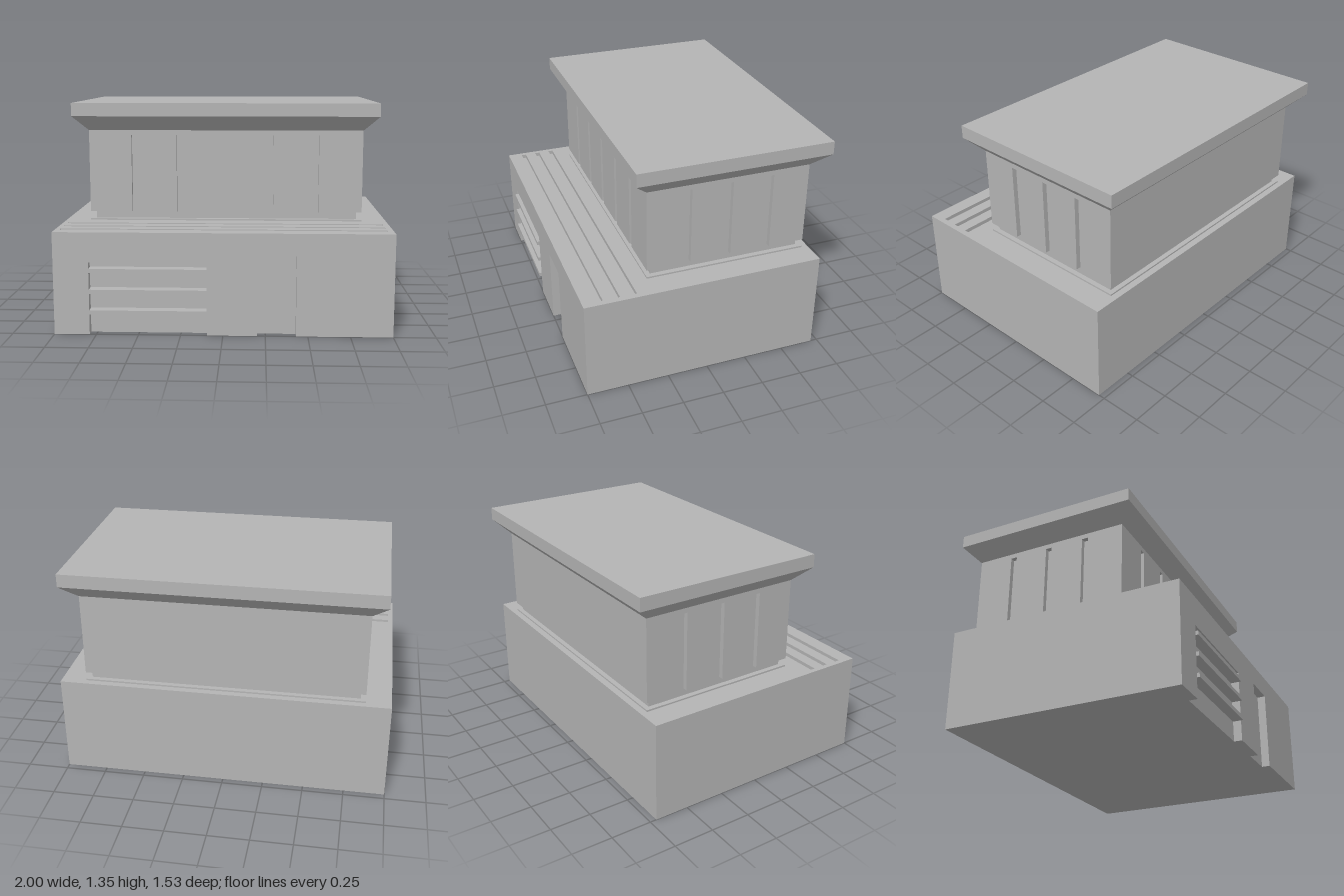
import * as THREE from 'three';

const concrete = new THREE.MeshStandardMaterial({ color: 0xb4b4b4 });
concrete.name = 'concrete grey';

function addMesh(parent, name, geometry) {
  const mesh = new THREE.Mesh(geometry, concrete);
  mesh.name = name;
  parent.add(mesh);
  return mesh;
}

// Box given by its limits on each axis
function block([x0, x1], [y0, y1], [z0, z1]) {
  return new THREE.BoxGeometry(x1 - x0, y1 - y0, z1 - z0)
    .translate((x0 + x1) / 2, (y0 + y1) / 2, (z0 + z1) / 2);
}

const toShape = (points) => new THREE.Shape(points.map(([x, y]) => new THREE.Vector2(x, y)));

// Raises a plan drawn in (x, -z) from y0 to y1
function raisePlan(shape, y0, y1) {
  return new THREE.ExtrudeGeometry(shape, { depth: y1 - y0, bevelEnabled: false })
    .rotateX(-Math.PI / 2).translate(0, y0, 0);
}

export function createModel() {
  const model = new THREE.Group();
  model.name = 'building';

  // Lower storey: core, front wall with two recesses, grooved deck
  const lower = new THREE.Group();
  lower.name = 'lowerStorey';
  model.add(lower);
  const deckY = 0.59, baseTop = 0.615, recessZ = 0.7, frontZ = 0.75, backZ = -0.71;
  addMesh(lower, 'baseCore', block([-1, 1], [0, deckY], [backZ, recessZ]));

  const facade = toShape([
    [-1, 0], [-0.79, 0], [-0.79, 0.435], [-0.095, 0.435], [-0.095, 0],
    [0.2, 0], [0.2, 0.48], [0.43, 0.48], [0.43, 0], [1, 0], [1, deckY], [-1, deckY],
  ]);
  addMesh(lower, 'frontWall', new THREE.ExtrudeGeometry(facade, {
    depth: frontZ - recessZ, bevelEnabled: false,
  }).translate(0, 0, recessZ));

  const deck = toShape([[-1, -frontZ], [1, -frontZ], [1, -backZ], [-1, -backZ]]);
  for (const z of [0.445, 0.545, 0.645]) {
    const groove = [[-0.97, -z - 0.015], [-0.97, -z + 0.015], [0.965, -z + 0.015], [0.965, -z - 0.015]];
    deck.holes.push(new THREE.Path(groove.map(([x, y]) => new THREE.Vector2(x, y))));
  }
  addMesh(lower, 'groovedDeck', raisePlan(deck, deckY, baseTop));

  // Horizontal bars across the garage opening
  for (const y of [0.138, 0.263, 0.388]) {
    addMesh(lower, 'garageBar', block([-0.787, -0.095], [y - 0.0125, y + 0.0125], [recessZ, 0.765]));
  }

  // Upper storey: thin plinth, inset neck, slotted walls
  const upper = new THREE.Group();
  upper.name = 'upperStorey';
  model.add(upper);
  const X = 0.848, zF = 0.33, zB = -0.67, slotDepth = 0.03, half = 0.02;
  addMesh(upper, 'plinth', block([-X, X], [baseTop, 0.625], [zB, zF]));
  addMesh(upper, 'neck', block([-0.817, 0.817], [0.625, 0.67], [-0.64, 0.3]));

  // Plan outline, counter-clockwise from the front left corner, in (x, -z)
  const frontSlots = [0, 1, 2, 3, 4].map((i) => -0.565 + 0.281 * i);
  const sideSlots = [0.08, -0.172, -0.425];
  const plan = [[-X, -zF]];
  for (const x of frontSlots) {
    plan.push([x - half, -zF], [x - half, -zF + slotDepth], [x + half, -zF + slotDepth], [x + half, -zF]);
  }
  plan.push([X, -zF]);
  for (const z of sideSlots) {
    plan.push([X, -z - half], [X - slotDepth, -z - half], [X - slotDepth, -z + half], [X, -z + half]);
  }
  plan.push([X, -zB], [-X, -zB]);
  for (const z of [...sideSlots].reverse()) {
    plan.push([-X, -z + half], [-X + slotDepth, -z + half], [-X + slotDepth, -z - half], [-X, -z - half]);
  }
  addMesh(upper, 'slottedWalls', raisePlan(toShape(plan), 0.67, 1.15));
  addMesh(upper, 'wallHead', block([-X, X], [1.15, 1.18], [zB, zF]));

  // Roof: sloping eaves under a flat slab
  const roof = new THREE.Group();
  roof.name = 'roof';
  model.add(roof);
  const R = 0.938, rF = 0.418, rB = -0.763;
  const eaves = block([-R, R], [1.18, 1.27], [rB, rF]);
  const pos = eaves.attributes.position;
  for (let i = 0; i < pos.count; i++) {
    if (pos.getY(i) > 1.2) continue;
    pos.setX(i, Math.sign(pos.getX(i)) * X);
    pos.setZ(i, pos.getZ(i) > 0 ? zF : zB);
  }
  eaves.computeVertexNormals();
  addMesh(roof, 'eaves', eaves);
  addMesh(roof, 'roofSlab', block([-R, R], [1.27, 1.35], [rB, rF]));

  return model;
}
